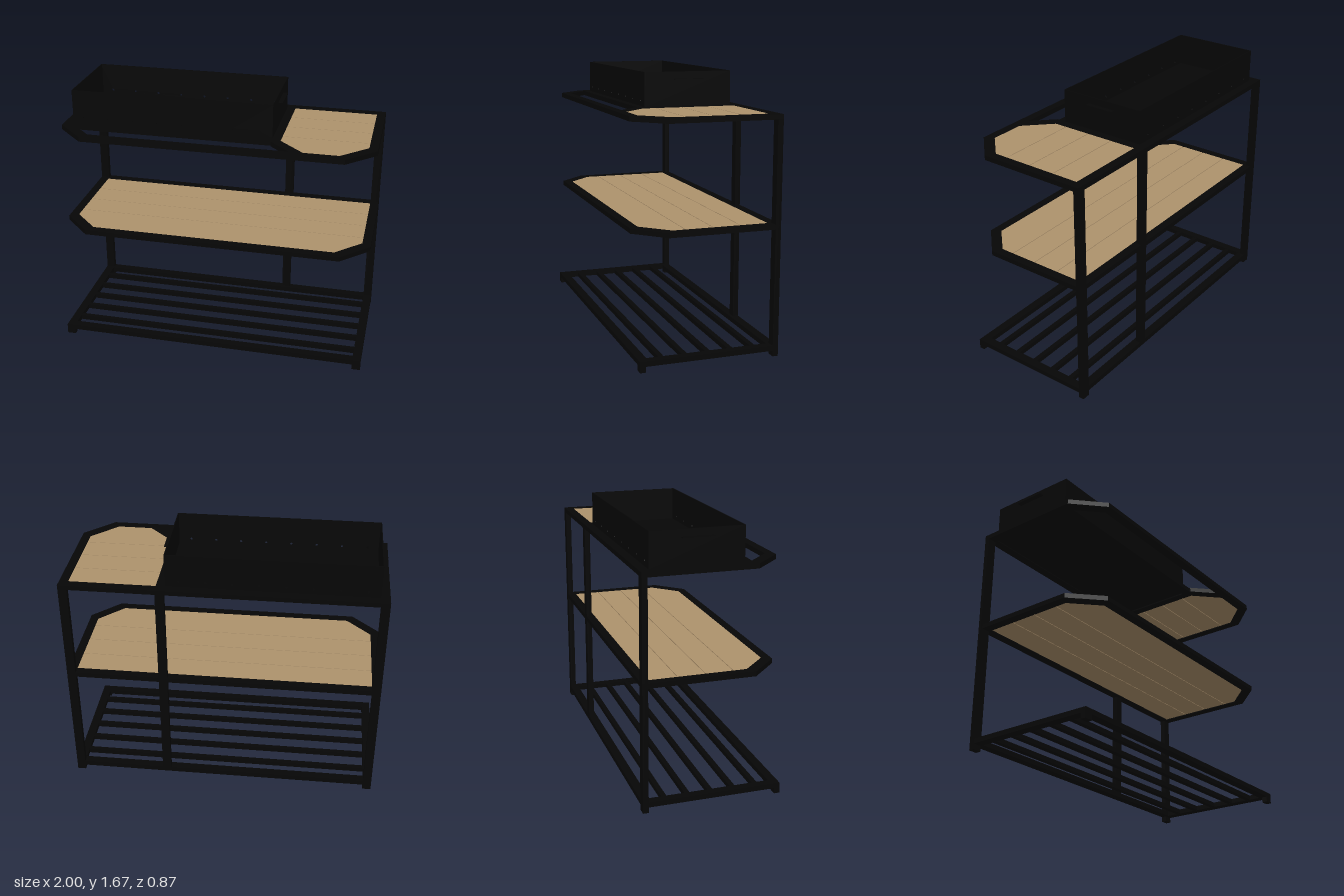
import * as THREE from 'three';

const black = new THREE.MeshStandardMaterial({ color: 0x060606 });
black.name = 'black steel';
const wood = new THREE.MeshStandardMaterial({ color: 0xad926c });
wood.name = 'oak wood';

// Box given by its limits on each axis
function bar(name, x0, x1, y0, y1, z0, z1, material = black) {
  const mesh = new THREE.Mesh(new THREE.BoxGeometry(x1 - x0, y1 - y0, z1 - z0), material);
  mesh.position.set((x0 + x1) / 2, (y0 + y1) / 2, (z0 + z1) / 2);
  mesh.name = name;
  return mesh;
}

// Flat plate from an outline in x and z, with its upper face at the given height
function slab(name, outline, top, thickness, material, hole) {
  const toPoints = (list) => list.map(([x, z]) => new THREE.Vector2(x, z));
  const shape = new THREE.Shape(toPoints(outline));
  if (hole) shape.holes.push(new THREE.Path(toPoints(hole)));
  const geometry = new THREE.ExtrudeGeometry(shape, { depth: thickness, bevelEnabled: false });
  geometry.rotateX(Math.PI / 2);
  const mesh = new THREE.Mesh(geometry, material);
  mesh.position.y = top;
  mesh.name = name;
  return mesh;
}

// Rectangle with its two front corners cut off
const cutRect = (x0, x1, z0, z1, cut) => [
  [x0, z0], [x1, z0], [x1, z1 - cut], [x1 - cut, z1], [x0 + cut, z1], [x0, z1 - cut],
];

function shelfFrame(name, top) {
  return slab(name, cutRect(-1, 1, -0.435, 0.435, 0.178), top, 0.03, black,
    cutRect(-0.945, 0.945, -0.38, 0.38, 0.16));
}

// Four boards with narrow gaps; the front one has cut corners
function planks(name, x0, x1, top) {
  const group = new THREE.Group();
  group.name = name;
  const edges = [-0.382, -0.206, -0.034, 0.138];
  const gap = 0.002;
  for (let i = 0; i < 3; i++) {
    group.add(bar('plank', x0, x1, top - 0.02, top, edges[i] + gap, edges[i + 1] - gap, wood));
  }
  group.add(slab('frontPlank', cutRect(x0, x1, edges[3] + gap, 0.38, 0.16), top, 0.02, wood));
  return group;
}

function storageTray() {
  const tray = new THREE.Group();
  tray.name = 'storageTray';
  const [x0, x1, y0, y1, z0, z1, t] = [-0.945, 0.35, 1.457, 1.67, -0.378, 0.19, 0.006];
  tray.add(bar('trayFloor', x0, x1, y0, y0 + t, z0, z1));

  // Long walls with a row of small drain holes
  const wall = new THREE.Shape();
  wall.moveTo(x0, y0);
  wall.lineTo(x1, y0);
  wall.lineTo(x1, y1);
  wall.lineTo(x0, y1);
  for (let i = 0; i < 8; i++) {
    wall.holes.push(new THREE.Path().absarc(-0.868 + i * 0.162, 1.492, 0.008, 0, Math.PI * 2, true));
  }
  const wallGeometry = new THREE.ExtrudeGeometry(wall, { depth: t, bevelEnabled: false, curveSegments: 6 });
  for (const [name, z] of [['trayFrontWall', z1 - t], ['trayBackWall', z0]]) {
    const mesh = new THREE.Mesh(wallGeometry, black);
    mesh.position.z = z;
    mesh.name = name;
    tray.add(mesh);
  }

  // End walls with folded grip tabs
  tray.add(bar('trayEndWall', x0, x0 + t, y0, y1, z0 + t, z1 - t));
  tray.add(bar('trayEndWall', x1 - t, x1, y0, y1, z0 + t, z1 - t));
  tray.add(bar('trayGrip', x0 - 0.03, x0, 1.622, 1.626, -0.19, 0));
  tray.add(bar('trayGrip', x1, x1 + 0.03, 1.622, 1.626, -0.19, 0));
  return tray;
}

export function createModel() {
  const model = new THREE.Group();
  model.name = 'shelfRack';

  // Rear posts and short front feet
  for (const x of [-1, 0.945]) {
    model.add(bar('rearPost', x, x + 0.055, 0, 1.43, -0.435, -0.4));
    model.add(bar('frontFoot', x, x + 0.055, 0, 0.036, 0.4, 0.435));
  }
  model.add(bar('middlePost', 0.35, 0.405, 0.036, 1.43, -0.435, -0.4));

  // Base frame with slats
  model.add(slab('baseFrame', cutRect(-1, 1, -0.435, 0.435, 0), 0.066, 0.031, black,
    cutRect(-0.945, 0.945, -0.38, 0.38, 0)));
  for (let i = -2; i <= 2; i++) {
    const z = i * 0.145;
    model.add(bar('baseSlat', -0.945, 0.945, 0.036, 0.065, z - 0.016, z + 0.016));
  }

  // Middle shelf
  model.add(shelfFrame('middleShelfFrame', 0.811));
  model.add(planks('middleShelfBoards', -0.945, 0.945, 0.808));

  // Top shelf: boards on one side, tray support on the other
  model.add(shelfFrame('topShelfFrame', 1.457));
  model.add(slab('topDivider', [[0.35, -0.38], [0.405, -0.38], [0.405, 0.22], [0.565, 0.38],
    [0.48, 0.38], [0.35, 0.25]], 1.457, 0.03, black));
  model.add(bar('traySupportBar', -0.945, 0.35, 1.427, 1.457, 0.185, 0.24));
  model.add(bar('traySupportPanel', -0.945, 0.35, 1.436, 1.456, -0.38, 0.185));
  model.add(planks('topShelfBoards', 0.405, 0.945, 1.454));
  model.add(storageTray());

  return model;
}
